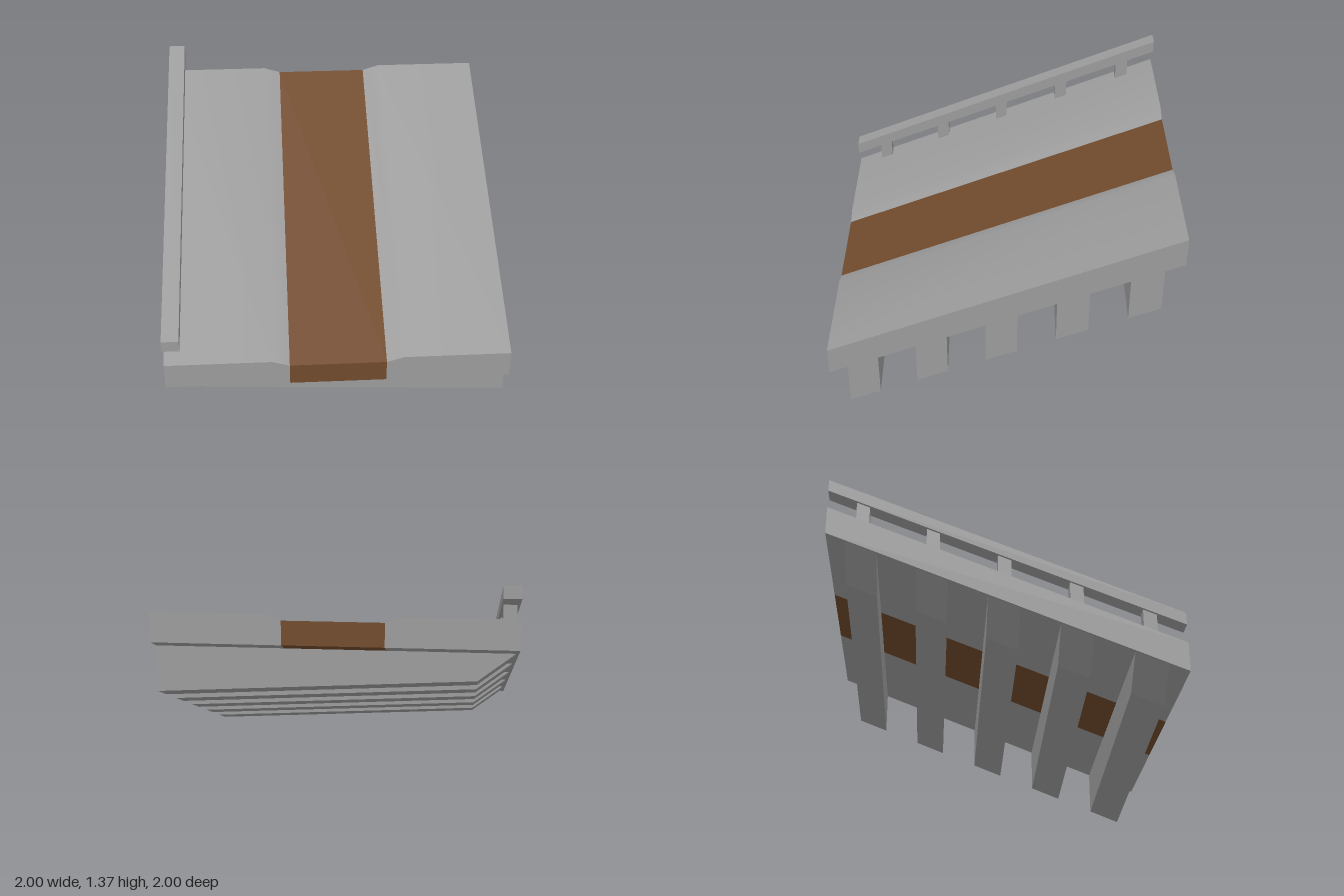
import * as THREE from 'three';
import { toCreasedNormals } from 'three/addons/utils/BufferGeometryUtils.js';

const SLOPE = 0.4;
const stone = new THREE.MeshStandardMaterial({ color: 0x9b9b9b });
const brown = new THREE.MeshStandardMaterial({ color: 0x704a2c });

// Extrude a cross-section from zBack to zFront, then shear it up the incline.
// Profile heights are those at the low front edge (z = 1).
function ramp(name, points, zBack, zFront, material = stone) {
  const shape = new THREE.Shape(points.map(([x, y]) => new THREE.Vector2(x, y)));
  const geo = new THREE.ExtrudeGeometry(shape, { depth: zFront - zBack, bevelEnabled: false });
  geo.translate(0, 0, zBack);
  const p = geo.attributes.position;
  for (let i = 0; i < p.count; i++) p.setY(i, p.getY(i) + SLOPE * (1 - p.getZ(i)));
  // Blend only the gentle bend on the slab tops; all other edges stay sharp
  const mesh = new THREE.Mesh(toCreasedNormals(geo, Math.PI / 8), material);
  mesh.name = name;
  return mesh;
}

const rect = (x0, x1, y0, y1) => [[x0, y0], [x1, y0], [x1, y1], [x0, y1]];

export function createModel() {
  const model = new THREE.Group();
  model.name = 'slopedDeck';

  // Deck: two raised side slabs with a sunken path between them
  for (const s of [-1, 1]) {
    const profile = [[0.28, 0.22], [1, 0.22], [1, 0.39], [0.38, 0.39], [0.28, 0.357]];
    model.add(ramp(s < 0 ? 'rightSlab' : 'leftSlab', profile.map(([x, y]) => [s * x, y]), -1, 1));
  }
  model.add(ramp('path', rect(-0.28, 0.28, 0.22, 0.357), -1, 1, brown));

  // Tapered cross beams below, and short railing posts above
  const beam = [[1, 0.22], [-0.985, 0.22], [-0.78, 0.06], [1, -0.044]];
  for (let i = 0; i < 5; i++) {
    const z = 0.8 - i * 0.4;
    model.add(ramp('crossBeam' + (i + 1), beam, z - 0.09, z + 0.09));
    model.add(ramp('railPost' + (i + 1), rect(-0.985, -0.91, 0.385, 0.505), z - 0.035, z + 0.04));
  }

  // Handrail along the right edge
  model.add(ramp('handrail', rect(-1, -0.9, 0.5, 0.572), -1, 1));
  return model;
}
